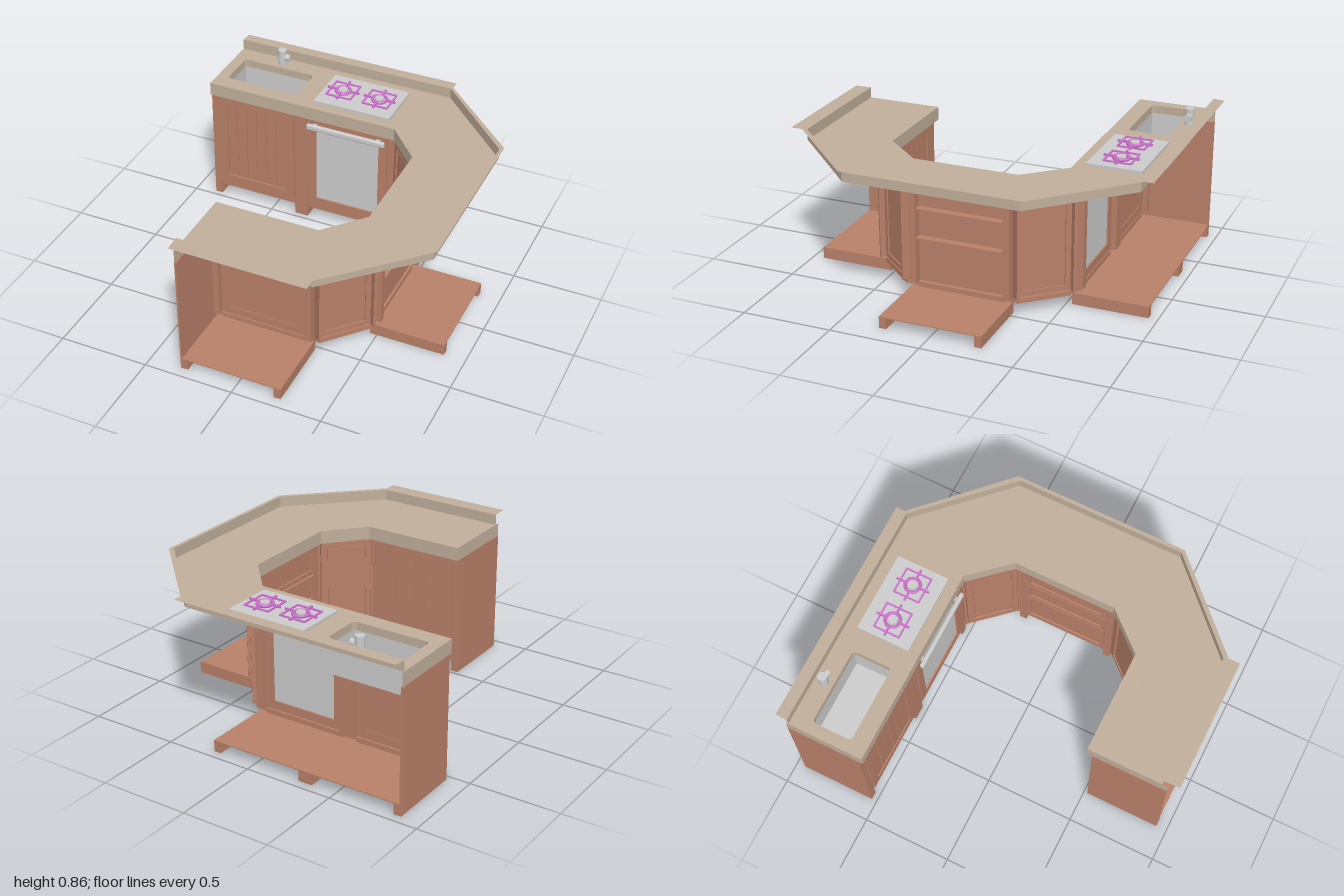
import * as THREE from 'three';
import { RoundedBoxGeometry } from 'three/addons/geometries/RoundedBoxGeometry.js';

const mat = (color, side = THREE.FrontSide) => new THREE.MeshStandardMaterial({ color, side });
const wood = mat(0xb88068);
const stone = mat(0xc0ae9a, THREE.DoubleSide);
const grey = mat(0xcccccc, THREE.DoubleSide);
const purple = mat(0xd070d0);

const H = 0.69, TOP = 0.765, LEDGE = 0.825, BASE = 0.065;

function add(parent, name, geometry, material) {
  const mesh = new THREE.Mesh(geometry, material);
  mesh.name = name;
  parent.add(mesh);
  return mesh;
}

// Box given by its extents along each axis
function box(parent, name, x0, x1, y0, y1, z0, z1, material = wood) {
  const mesh = add(parent, name, new THREE.BoxGeometry(x1 - x0, y1 - y0, z1 - z0), material);
  mesh.position.set((x0 + x1) / 2, (y0 + y1) / 2, (z0 + z1) / 2);
  return mesh;
}

// Rectangular frame of four bars
function frame(parent, name, x0, x1, y0, y1, t, z0, z1, material = wood) {
  const g = new THREE.Group();
  g.name = name;
  box(g, name + 'Left', x0, x0 + t, y0, y1, z0, z1, material);
  box(g, name + 'Right', x1 - t, x1, y0, y1, z0, z1, material);
  box(g, name + 'Bottom', x0 + t, x1 - t, y0, y0 + t, z0, z1, material);
  box(g, name + 'Top', x0 + t, x1 - t, y1 - t, y1, z0, z1, material);
  parent.add(g);
  return g;
}

// Flat horizontal sheet from [x, z] corners
function sheet(parent, name, points, y, holes = []) {
  const shape = new THREE.Shape(points.map(p => new THREE.Vector2(...p)));
  shape.holes = holes;
  const mesh = add(parent, name, new THREE.ShapeGeometry(shape).rotateX(Math.PI / 2), stone);
  mesh.position.y = y;
}

// Upright strip following [x, z] points
function strip(parent, name, points, y0, y1, material = stone) {
  const pos = [], idx = [];
  for (let i = 0; i < points.length - 1; i++) {
    const [a, b] = [points[i], points[i + 1]], k = i * 4;
    pos.push(a[0], y0, a[1], b[0], y0, b[1], b[0], y1, b[1], a[0], y1, a[1]);
    idx.push(k, k + 1, k + 2, k, k + 2, k + 3);
  }
  const g = new THREE.BufferGeometry();
  g.setAttribute('position', new THREE.Float32BufferAttribute(pos, 3));
  g.setIndex(idx);
  g.computeVertexNormals();
  add(parent, name, g, material);
}

// Cabinet whose front lies on local z = 0, facing +z
function cabinet(parent, name, x, z, angle, w, { depth = 0.42, fill, stile = 0.04 }) {
  const g = new THREE.Group();
  g.name = name;
  g.position.set(x, 0, z);
  g.rotation.y = angle;
  parent.add(g);
  const h = w / 2, foot = depth ? 0 : BASE;
  for (const s of [-1, 1]) {
    const a = s * h, b = s * (h - stile), l = Math.min(a, b), r = Math.max(a, b);
    box(g, 'stile', l, r, foot, H, -0.015, 0);
    box(g, 'innerStile', l, r, 0.095, H, -0.06, -0.015);
    if (depth) box(g, 'runner', l, r, 0, BASE - 0.005, -depth, -0.015);
  }
  if (depth) box(g, 'baseBoard', -h, h, BASE - 0.005, BASE, -depth, -0.015);
  box(g, 'bottomRail', -h + stile, h - stile, BASE, 0.093, -0.03, -0.004);
  fill(g, h - stile - 0.004);
  return g;
}

// Door fillings, m is half the door width
const panelDoor = (g, m) => {
  const t = 0.03;
  frame(g, 'doorFrame', -m, m, 0.1, H - 0.004, t, -0.03, 0.006);
  box(g, 'doorPanel', -m + t, m - t, 0.13, H - 0.034, -0.022, -0.004);
  box(g, 'raisedPanel', -m + t + 0.01, m - t - 0.01, 0.145, H - 0.045, -0.022, 0.002);
};
const plankDoor = (g, m) => {
  const t = 0.05, n = 6, p = (2 * m - 2 * t) / n;
  frame(g, 'doorFrame', -m, m, 0.1, H - 0.004, t, -0.03, 0.006);
  box(g, 'doorPanel', -m + t, m - t, 0.15, 0.636, -0.026, -0.008);
  for (let i = 0; i < n; i++) {
    const x = -m + t + i * p;
    box(g, 'plank', x + 0.003, x + p - 0.003, 0.153, 0.633, -0.01, 0);
  }
};
const ovenDoor = (g, m) => {
  const t = 0.05;
  frame(g, 'ovenFrame', -m, m, 0.1, H - 0.004, t, -0.03, 0.006);
  box(g, 'ovenWindow', -m + t, m - t, 0.15, 0.636, -0.022, -0.004, grey);
  const bar = add(g, 'ovenHandle', new RoundedBoxGeometry(0.47, 0.035, 0.025, 3, 0.01), grey);
  bar.position.set(0, 0.65, 0.033);
  for (const s of [-1, 1]) box(g, 'handleMount', s * 0.19 - 0.012, s * 0.19 + 0.012, 0.64, 0.66, 0, 0.03, grey);
};
const drawers = (g, m) => {
  const levels = [0.095, 0.355, 0.52, H];
  for (let i = 0; i < 3; i++) {
    const y0 = levels[i] + 0.005, y1 = levels[i + 1] - 0.005;
    box(g, 'drawerFront', -m, m, y0, y1, -0.02, -0.004);
    frame(g, 'drawerFrame', -m, m, y0, y1, 0.025, -0.01, 0.006);
    if (i) box(g, 'drawerRail', -m, m, levels[i] - 0.004, levels[i] + 0.004, -0.06, -0.01);
  }
};

function burner(parent, x, z) {
  const g = new THREE.Group();
  g.name = 'burner';
  g.position.set(x, 0.79, z);
  parent.add(g);
  const grate = frame(g, 'grate', -0.077, 0.077, -0.077, 0.077, 0.008, -0.004, 0.004, purple);
  grate.rotation.x = Math.PI / 2;
  add(g, 'burnerRing', new THREE.TorusGeometry(0.04, 0.009, 8, 24).rotateX(Math.PI / 2), purple);
  add(g, 'burnerCap', new THREE.CylinderGeometry(0.026, 0.026, 0.018, 20), grey);
  for (let i = 0; i < 4; i++) {
    const arm = new THREE.Group();
    arm.name = 'prong';
    arm.rotation.y = i * Math.PI / 2;
    box(arm, 'prongBar', 0.036, 0.095, -0.004, 0.008, -0.005, 0.005, purple);
    g.add(arm);
  }
}

// Rounded rectangle outline for the sink
function roundedRect(Type, x0, x1, z0, z1, r) {
  const s = new Type();
  s.absarc(x1 - r, z1 - r, r, 0, Math.PI / 2);
  s.absarc(x0 + r, z1 - r, r, Math.PI / 2, Math.PI);
  s.absarc(x0 + r, z0 + r, r, Math.PI, Math.PI * 1.5);
  s.absarc(x1 - r, z0 + r, r, Math.PI * 1.5, Math.PI * 2);
  s.closePath();
  return s;
}

export function createModel() {
  const model = new THREE.Group();
  model.name = 'kitchenCounter';

  // Worktop, inner apron, upstand and its ledge
  const inner = [[-0.88, -0.51], [0.25, -0.51], [0.44, -0.3], [0.44, 0.28], [0.255, 0.49], [-0.32, 0.49]];
  const wall = [[-0.32, 0.91], [0.415, 0.91], [0.86, 0.47], [0.86, -0.48], [0.415, -0.935], [-0.88, -0.935]];
  const rim = [[-0.875, -1], [0.425, -1], [0.425, -0.95], [0.88, -0.5], [0.88, 0.48], [0.425, 0.935], [0.425, 1], [-0.315, 1]];
  const sinkHole = roundedRect(THREE.Path, -0.815, -0.38, -0.83, -0.605, 0.025);
  sheet(model, 'worktop', [...inner, ...wall], TOP, [sinkHole]);
  strip(model, 'apron', [[-0.88, -0.95], ...inner, [-0.32, 0.94]], H, TOP);
  strip(model, 'upstand', wall, TOP, LEDGE);
  sheet(model, 'ledge', [...wall, ...rim], LEDGE);

  // Sink: stone rim, basin walls and floor
  const outline = sinkHole.getPoints(5).map(p => [p.x, p.y]);
  strip(model, 'sinkRim', outline, 0.72, TOP);
  strip(model, 'sinkBasin', [[-0.815, -0.83], [-0.38, -0.83], [-0.38, -0.605], [-0.815, -0.605], [-0.815, -0.83]], 0.575, 0.72, grey);
  box(model, 'sinkFloor', -0.815, -0.38, 0.575, 0.58, -0.83, -0.605, grey);

  // Tap
  const tap = add(model, 'tap', new THREE.CylinderGeometry(0.025, 0.025, 0.09, 24), grey);
  tap.position.set(-0.6, 0.81, -0.88);
  const spout = add(model, 'tapSpout', new THREE.CylinderGeometry(0.02, 0.02, 0.05, 20).rotateZ(Math.PI / 2), grey);
  spout.position.set(-0.577, 0.81, -0.88);

  // Hob
  box(model, 'hobPlate', -0.26, 0.195, TOP, 0.78, -0.87, -0.57, grey);
  burner(model, -0.145, -0.72);
  burner(model, 0.075, -0.72);

  // Cabinets along the three runs, plus the two angled corners
  cabinet(model, 'sinkCabinet', -0.6, -0.53, 0, 0.56, { fill: plankDoor });
  cabinet(model, 'ovenCabinet', -0.035, -0.53, 0, 0.57, { fill: ovenDoor });
  cabinet(model, 'drawerCabinet', 0.46, -0.0025, -Math.PI / 2, 0.565, { fill: drawers });
  cabinet(model, 'frontCabinet', -0.035, 0.52, Math.PI, 0.57, { fill: plankDoor });
  for (const s of [-1, 1]) {
    cabinet(model, 'cornerDoor', 0.3575, s * 0.405, Math.atan2(-0.24, -s * 0.215), 0.325,
      { depth: 0, fill: panelDoor, stile: 0.014 });
  }

  // Outer end panels
  box(model, 'backEndPanel', -0.882, -0.872, 0, H, -0.95, -0.53);
  box(model, 'frontEndPanel', -0.322, -0.312, 0, H, 0.52, 0.94);
  return model;
}
